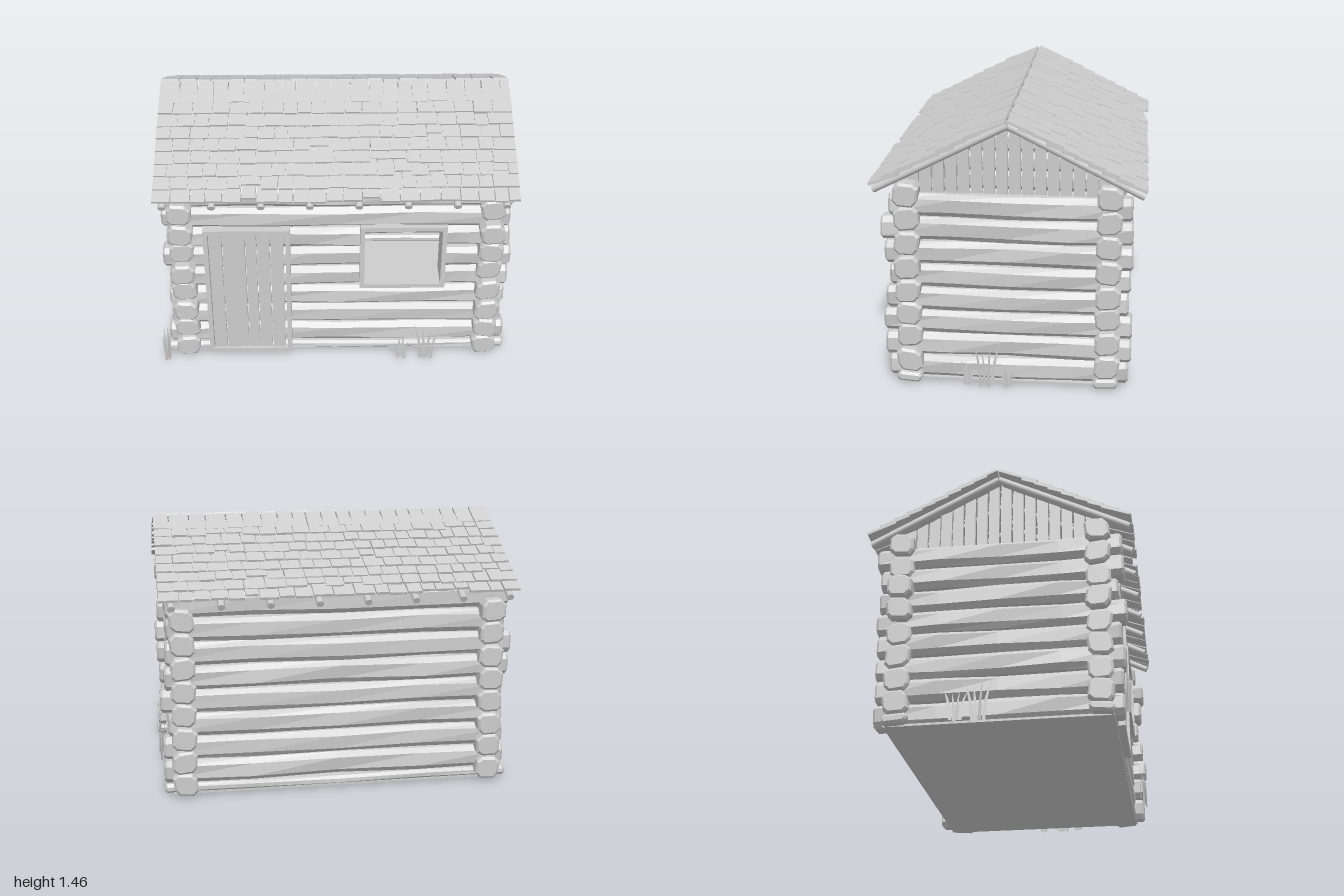
import * as THREE from 'three';

let seed = 7;
const rand = () => {
  seed = (seed * 16807) % 2147483647;
  return seed / 2147483647;
};
const vary = (a) => (rand() * 2 - 1) * a;

const wood = new THREE.MeshStandardMaterial({ color: 0xcccccc });
wood.name = 'weathered grey';
const blade = new THREE.MeshStandardMaterial({ color: 0xcccccc, side: THREE.DoubleSide });
blade.name = 'grass grey';

function add(parent, name, geometry, x = 0, y = 0, z = 0, material = wood) {
  const mesh = new THREE.Mesh(geometry, material);
  mesh.name = name;
  mesh.position.set(x, y, z);
  parent.add(mesh);
  return mesh;
}

const box = (w, h, d) => new THREE.BoxGeometry(w, h, d);

function polygon(points) {
  return new THREE.Shape(points.map(([x, y]) => new THREE.Vector2(x, y)));
}

// Hewn log along z: chamfered section with slightly wobbling faces
function logGeometry(length, height, width, wobble = 0.005) {
  const bevel = 0.012;
  const w = width / 2 - bevel, h = height / 2 - bevel, c = Math.min(0.02, h * 0.6);
  const shape = polygon([[-w + c, -h], [w - c, -h], [w, -h + c], [w, h - c],
    [w - c, h], [-w + c, h], [-w, h - c], [-w, -h + c]]);
  const geometry = new THREE.ExtrudeGeometry(shape, {
    depth: length - 2 * bevel, steps: 4, bevelSize: bevel, bevelThickness: bevel, bevelSegments: 1,
  });
  geometry.translate(0, 0, bevel - length / 2);
  const p = geometry.attributes.position, phase = rand() * 20;
  for (let i = 0; i < p.count; i++) {
    const x = p.getX(i), y = p.getY(i), z = p.getZ(i);
    p.setX(i, x + wobble * Math.sin(z * 7 + y * 40 + phase));
    p.setY(i, y + wobble * Math.sin(z * 5 + x * 30 + phase * 2));
  }
  geometry.computeVertexNormals();
  return geometry;
}

// Rectangular frame with an opening, extruded towards the front
function frameGeometry(w, h, border, depth) {
  const a = w / 2, b = h / 2, c = a - border, d = b - border;
  const shape = polygon([[-a, -b], [a, -b], [a, b], [-a, b]]);
  shape.holes.push(polygon([[-c, -d], [-c, d], [c, d], [c, -d]]));
  return new THREE.ExtrudeGeometry(shape, { depth, bevelEnabled: false });
}

function buildWalls(parent) {
  const walls = new THREE.Group();
  walls.name = 'logWalls';
  parent.add(walls);
  const longLog = (name, x0, x1, y0, y1, z) => {
    const log = add(walls, name, logGeometry(x1 - x0, y1 - y0, 0.13), (x0 + x1) / 2, (y0 + y1) / 2, z);
    log.rotation.y = Math.PI / 2;
  };
  // Front and back logs, the front ones cut at the window
  for (let i = 0; i < 9; i++) {
    const y0 = i ? 0.07 + 0.131 * (i - 1) : 0.013;
    const y1 = (i ? y0 + 0.131 : 0.07) - 0.007;
    for (const side of [1, -1]) {
      const x0 = -0.93 + vary(0.025), x1 = 0.95 + vary(0.025);
      if (side > 0 && i >= 4 && i <= 6) {
        longLog('frontLog', x0, 0.15, y0, y1, 0.52);
        longLog('frontLog', 0.6, x1, y0, y1, 0.52);
      } else longLog(side > 0 ? 'frontLog' : 'backLog', x0, x1, y0, y1, side * 0.52);
    }
  }
  // Side logs, half a course lower
  for (let i = 0; i < 8; i++) {
    for (const x of [-0.83, 0.85]) {
      add(walls, 'sideLog', logGeometry(1.28 + vary(0.03), 0.122, 0.13), x, 0.077 + 0.129 * i, vary(0.012));
    }
  }
  add(walls, 'floor', box(1.81, 0.012, 1.16), 0.01, 0.014, 0);
}

function buildDoorAndWindow(parent) {
  const door = new THREE.Group();
  door.name = 'door';
  parent.add(door);
  add(door, 'doorFrame', frameGeometry(0.47, 0.84, 0.025, 0.07), -0.475, 0.445, 0.55);
  const edges = [-0.685, -0.61, -0.485, -0.422, -0.35, -0.275];
  for (let i = 0; i < 5; i++) {
    const w = edges[i + 1] - edges[i];
    add(door, 'doorPlank', box(w - 0.006, 0.79, 0.03), edges[i] + w / 2, 0.44, 0.59);
  }
  add(parent, 'windowFrame', frameGeometry(0.47, 0.405, 0.025, 0.16), 0.375, 0.672, 0.45);
}

// Vertical boards cut to the roof slope
function buildGables(parent) {
  const step = 0.0655;
  const top = (z) => 1.41 - 0.51 * Math.abs(z);
  for (const x of [-0.84, 0.86]) {
    const gable = new THREE.Group();
    gable.name = 'gable';
    parent.add(gable);
    for (let i = -9; i < 9; i++) {
      const a = i * step + 0.003, b = (i + 1) * step - 0.003 - rand() * 0.004;
      const shape = polygon([[a, 1.045], [b, 1.045], [b, top(b)], [a, top(a)]]);
      const plank = add(gable, 'gablePlank',
        new THREE.ExtrudeGeometry(shape, { depth: 0.02, bevelEnabled: false }), x - 0.01 + vary(0.004));
      plank.rotation.y = -Math.PI / 2;
      plank.position.x += 0.02;
    }
  }
}

function buildRoof(parent) {
  for (const side of [1, -1]) {
    const slope = new THREE.Group();
    slope.name = side > 0 ? 'frontRoof' : 'backRoof';
    if (side < 0) slope.rotation.y = Math.PI;
    parent.add(slope);
    // Rafters with round ends showing under the eaves
    const angle = Math.atan2(0.35, 0.69);
    for (let i = 0; i < 8; i++) {
      const rafter = add(slope, 'rafter', new THREE.CylinderGeometry(0.02, 0.02, 0.775, 8),
        -0.903 + 0.258 * i, 1.238, 0.347);
      rafter.rotation.x = Math.PI / 2 + angle;
    }
    // Overlapping shingle courses, each tilted flatter than the rafters
    for (let k = 0; k < 9; k++) {
      const zLow = 0.14 + 0.07 * k;
      const yLow = 1.458 - 0.51 * zLow + (k ? 0.008 : 0);
      const length = k ? 0.165 : 0.152;
      const tilt = k ? 0.36 : 0.41;
      let x = -0.965 + (side < 0 ? -0.005 : 0.01);
      const end = side < 0 ? 0.955 : 0.972;
      while (x < end - 0.03) {
        let w = 0.07 + rand() * 0.045;
        if (end - x - w < 0.05) w = end - x;
        const mid = x + w / 2;
        x += w;
        const trimmed = rand() < (k === 8 ? 0.2 : 0.04) ? 0.025 : vary(0.004);
        const l = length - trimmed;
        const geometry = box(w - 0.006, 0.014, l);
        geometry.translate(0, 0, -l / 2 - trimmed);
        const shingle = add(slope, 'shingle', geometry, mid, yLow + vary(0.003), zLow + 0.004);
        shingle.rotation.x = tilt + vary(0.012);
      }
    }
  }
}

// Curved, tapering blade of grass
function bladeGeometry(height, lean, width) {
  const points = [], index = [];
  for (let i = 0; i <= 4; i++) {
    const t = i / 4, w = width * (1 - t) * (0.7 + t) / 2;
    points.push(lean * t * t - w, height * t, 0, lean * t * t + w, height * t, 0);
    if (i < 4) index.push(2 * i, 2 * i + 1, 2 * i + 2, 2 * i + 1, 2 * i + 3, 2 * i + 2);
  }
  const geometry = new THREE.BufferGeometry();
  geometry.setAttribute('position', new THREE.Float32BufferAttribute(points, 3));
  geometry.setIndex(index);
  geometry.computeVertexNormals();
  return geometry;
}

function buildGrass(parent) {
  // Each clump: x, z, blade height, spread, turn
  const clumps = [
    [0.52, 0.65, 0.27, 0.05, 0], [0.38, 0.65, 0.15, 0.03, 0],
    [0.955, 0.11, 0.26, 0.05, 1.57], [0.955, 0.21, 0.16, 0.025, 1.57], [0.955, 0, 0.13, 0.025, 1.57],
    [-0.945, -0.09, 0.26, 0.05, 1.57], [-0.945, -0.2, 0.2, 0.04, 1.57], [-0.95, 0.65, 0.26, 0.02, 0.6],
  ];
  clumps.forEach(([x, z, height, spread, turn]) => {
    const clump = new THREE.Group();
    clump.name = 'grassClump';
    clump.position.set(x, 0, z);
    clump.rotation.y = turn;
    parent.add(clump);
    for (let i = 0; i < 4; i++) {
      const s = (i - 1.5) / 1.5;
      const geometry = bladeGeometry(height * (1 - 0.3 * rand()), s * spread * 0.9, 0.026);
      const leaf = add(clump, 'grassBlade', geometry, s * spread * 0.6, 0, vary(0.015), blade);
      leaf.rotation.y = vary(0.5);
    }
  });
}

export function createModel() {
  seed = 7;
  const cabin = new THREE.Group();
  cabin.name = 'logCabin';
  buildWalls(cabin);
  buildDoorAndWindow(cabin);
  buildGables(cabin);
  buildRoof(cabin);
  buildGrass(cabin);
  return cabin;
}
